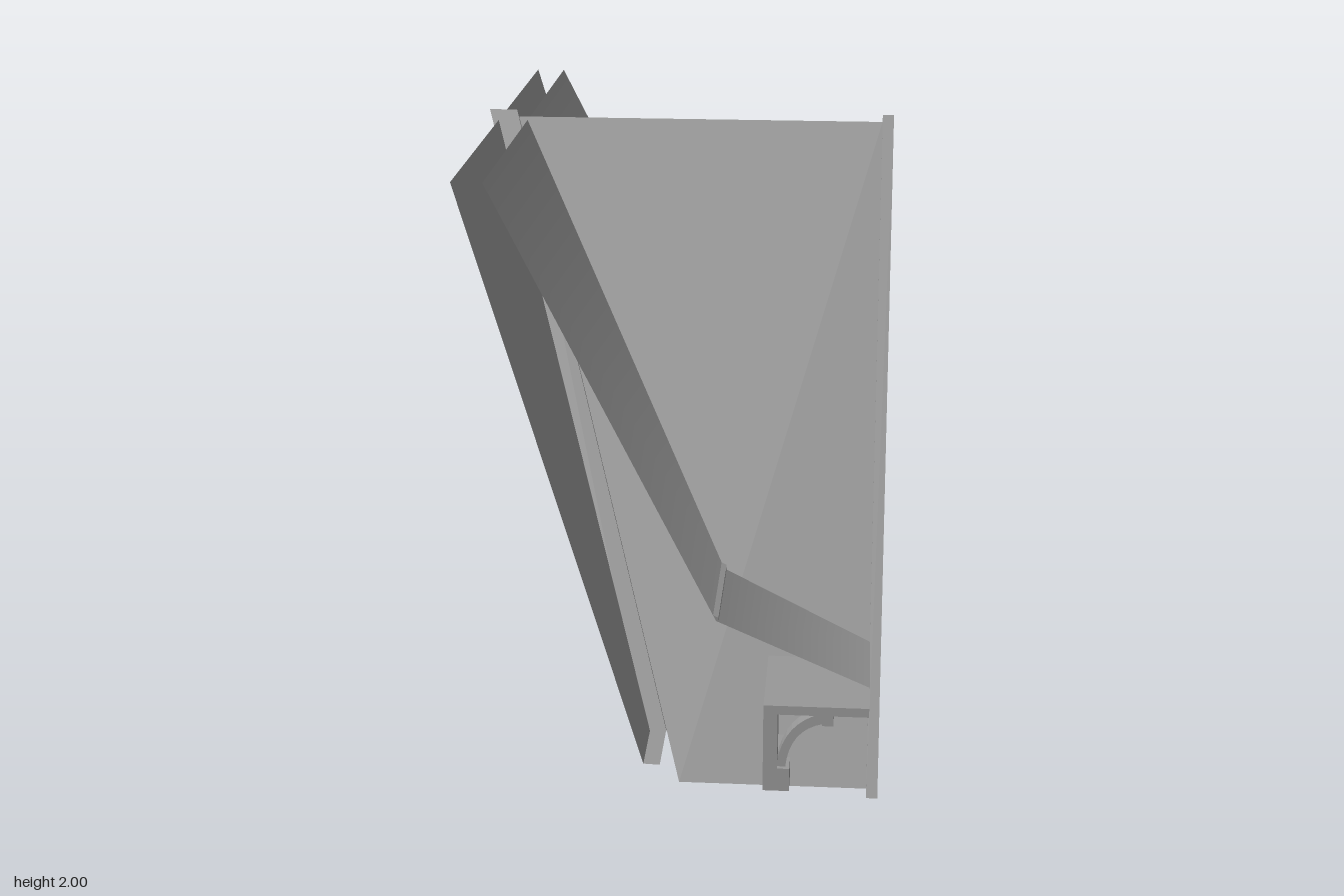
import * as THREE from 'three';

const grey = new THREE.MeshStandardMaterial({ color: 0x989898 });
const thin = new THREE.MeshStandardMaterial({ color: 0x989898, side: THREE.DoubleSide });
const V2 = (x, y) => new THREE.Vector2(x, y);

function add(parent, name, geo, mat = grey) {
  const mesh = new THREE.Mesh(geo, mat);
  mesh.name = name;
  parent.add(mesh);
  return mesh;
}

// Box given by its limits
function box(parent, name, x0, x1, y0, y1, z0, z1) {
  const m = add(parent, name, new THREE.BoxGeometry(x1 - x0, y1 - y0, z1 - z0));
  m.position.set((x0 + x1) / 2, (y0 + y1) / 2, (z0 + z1) / 2);
}

// Extrudes a gable-plane shape (sideways, up) along x
function slab(shape, x0, x1, curveSegments = 12) {
  const g = new THREE.ExtrudeGeometry(shape, { depth: x1 - x0, bevelEnabled: false, curveSegments });
  return g.rotateY(Math.PI / 2).translate(x0, 0, 0);
}

// Upside-down V with given apex heights and half widths at the foot
function chevron(top, inTop, foot, half, inHalf) {
  return new THREE.Shape([V2(-half, foot), V2(-inHalf, foot), V2(0, inTop),
    V2(inHalf, foot), V2(half, foot), V2(0, top)]);
}

// Chevron whose front and rear ends may lean with height
function leaningChevron(shape, rear, front) {
  const g = slab(shape, 0, 1);
  const p = g.attributes.position;
  for (let i = 0; i < p.count; i++) {
    const y = p.getY(i);
    p.setX(i, THREE.MathUtils.lerp(rear(y), front(y), p.getX(i)));
  }
  g.computeVertexNormals();
  return g;
}

// Sheet along z from an (x, y) profile; zRange(y) gives its two ends.
// Normals blend evenly between neighbouring profile segments.
function sheet(profile, zRange) {
  const pos = [], nor = [], idx = [];
  const pts = profile.map(([x, y]) => V2(x, y));
  const perp = i => {
    const d = pts[i + 1].clone().sub(pts[i]).normalize();
    return V2(-d.y, d.x);
  };
  pts.forEach((p, i) => {
    const n = V2(0, 0);
    if (i) n.add(perp(i - 1));
    if (i < pts.length - 1) n.add(perp(i));
    n.normalize();
    for (const z of zRange(p.y)) {
      pos.push(p.x, p.y, z);
      nor.push(n.x, n.y, 0);
    }
    const k = i * 2;
    if (i) idx.push(k - 2, k - 1, k, k - 1, k + 1, k);
  });
  const g = new THREE.BufferGeometry();
  g.setAttribute('position', new THREE.Float32BufferAttribute(pos, 3));
  g.setAttribute('normal', new THREE.Float32BufferAttribute(nor, 3));
  g.setIndex(idx);
  return g;
}

// Same sheet with hard folds
function foldedSheet(profile, zRange) {
  const g = sheet(profile, zRange).toNonIndexed();
  g.computeVertexNormals();
  return g;
}

// Straight tracery bar in the gable plane
function bar(parent, name, s0, y0, s1, y1, w, x0 = 0.568, x1 = 0.605) {
  const len = Math.hypot(s1 - s0, y1 - y0);
  const m = add(parent, name, new THREE.BoxGeometry(x1 - x0, len, w));
  m.position.set((x0 + x1) / 2, (y0 + y1) / 2, (s0 + s1) / 2);
  m.rotation.x = Math.atan2(s1 - s0, y1 - y0);
}

const END = 0.88;                                // half length of the main roof
const gableZ = y => (1.98 - y) * 0.361;          // half width of the gable roof
const rearX = y => -0.64 + (2 - y) * 0.295;      // leaning back face
const gableRearX = y => 0.015 - (y - 0.02) * 0.287;

function mainRoof(root) {
  const g = new THREE.Group();
  g.name = 'mainRoof';
  const slope = [[-0.52, 1.968], [0.14, 0.652], [0.6, 0.45]];
  const step = [[0.131, 0.67], [0.147, 0.663], [0.147, 0.649]];
  const back = [[rearX(1.97) + 0.02, 1.968], [rearX(0.17) + 0.02, 0.17], [-0.03, 0.168]];
  for (const s of [1, -1]) {
    const ends = y => s > 0 ? [gableZ(y), END] : [-END, -gableZ(y)];
    add(g, 'roofSlope', sheet(slope, ends), thin);
    add(g, 'roofStep', foldedSheet(step, ends), thin);
    add(g, 'innerRoofSheet', foldedSheet(back, ends), thin);
  }
  root.add(g);
}

function eaveAndWall(root) {
  const g = new THREE.Group();
  g.name = 'eaveAndWall';
  // Fascia, soffit, wall and ledge
  const profile = [[0.6, 0.45], [0.6, 0.4], [0.285, 0.4], [0.285, 0.17],
    [0.345, 0.17], [0.345, 0.112], [0.285, 0.112]];
  add(g, 'eaveWallLedge', foldedSheet(profile, () => [-END, END]), thin);

  // Wide bracket frame: foot, leg, arm and stop block
  const frame = new THREE.Shape([V2(0.285, 0.115), V2(0.365, 0.115), V2(0.365, 0.19), V2(0.328, 0.19),
    V2(0.328, 0.37), V2(0.46, 0.37), V2(0.46, 0.337), V2(0.495, 0.337), V2(0.495, 0.37),
    V2(0.6, 0.37), V2(0.6, 0.399), V2(0.285, 0.399)]);
  // Narrower curved brace
  const brace = new THREE.Shape([V2(0.326, 0.185), V2(0.352, 0.185)]);
  brace.quadraticCurveTo(0.362, 0.315, 0.465, 0.337);
  brace.lineTo(0.465, 0.372);
  brace.quadraticCurveTo(0.345, 0.34, 0.326, 0.2);
  for (const z of [0.88, 0.285, -0.285]) {
    for (const [name, shape, w] of [['bracketFrame', frame, 0.076], ['bracketBrace', brace, 0.046]]) {
      const geo = new THREE.ExtrudeGeometry(shape, { depth: w, bevelEnabled: false, curveSegments: 8 });
      add(g, name, geo).position.z = z - w / 2;
    }
  }
  root.add(g);
}

function gableRoof(root) {
  const g = new THREE.Group();
  g.name = 'gableRoof';
  add(g, 'gableRoofPlanes', leaningChevron(chevron(1.978, 1.915, 0.02, 0.71, 0.687),
    gableRearX, () => 0.6));
  add(g, 'rearTrim', leaningChevron(chevron(2, 1.82, 0.17, 0.662, 0.595), rearX, gableRearX));
  add(g, 'frontTrim', slab(chevron(2, 1.84, 0, 0.734, 0.645), 0.6, 0.635));
  root.add(g);
}

function windowWall(root) {
  const g = new THREE.Group();
  g.name = 'windowWall';
  const half = y => gableZ(y) - 0.015;
  const wall = new THREE.Shape([V2(-half(0.4), 0.4), V2(half(0.4), 0.4), V2(0, 1.93)]);
  wall.holes.push(new THREE.Path([V2(-0.2, 0.575), V2(-0.2, 1.23), V2(0.2, 1.23), V2(0.2, 0.575)]));
  add(g, 'backWall', slab(wall, -0.07, -0.05));
  const base = new THREE.Shape([V2(-half(0.12), 0.12), V2(half(0.12), 0.12),
    V2(half(0.42), 0.42), V2(-half(0.42), 0.42)]);
  add(g, 'backWallBase', slab(base, -0.012, 0));
  const pane = add(g, 'windowPane', new THREE.PlaneGeometry(0.4, 0.655).rotateY(Math.PI / 2));
  pane.position.set(-0.055, 0.9025, 0);
  // Casing, mullion and transom
  for (const s of [1, -1]) {
    bar(g, 'windowJamb', s * 0.203, 0.57, s * 0.203, 1.24, 0.022, -0.055, -0.02);
    for (const y of [0.607, 1.075]) bar(g, 'sashRail', 0, y, s * 0.18, y, 0.016, -0.054, -0.035);
    bar(g, 'sashStile', s * 0.17, 0.6, s * 0.17, 1.08, 0.016, -0.054, -0.035);
  }
  bar(g, 'windowHead', -0.213, 1.228, 0.213, 1.228, 0.022, -0.055, -0.02);
  bar(g, 'windowSill', -0.213, 0.583, 0.213, 0.583, 0.022, -0.055, -0.01);
  bar(g, 'mullion', 0, 0.6, 0, 1.21, 0.024, -0.054, -0.03);
  bar(g, 'transom', -0.18, 1.097, 0.18, 1.097, 0.022, -0.054, -0.03);
  box(g, 'windowSeat', -0.06, 0.26, 0.47, 0.56, -0.435, 0.435);
  box(g, 'gableFloor', -0.06, 0.598, 0.405, 0.45, -0.54, 0.54);
  root.add(g);
}

function tracery(root) {
  const g = new THREE.Group();
  g.name = 'tracery';
  add(g, 'innerRafters', slab(chevron(1.85, 1.78, 0.45, 0.49, 0.4655), 0.57, 0.602));

  // Egg-shaped ring
  const right = [[0.13, 0.445], [0.235, 0.585], [0.272, 0.74], [0.258, 0.9], [0.21, 1.07], [0.13, 1.23]];
  const ring = [[0, 0.405], ...right, [0, 1.32], ...right.map(([s, y]) => [-s, y]).reverse()];
  const egg = k => new THREE.CatmullRomCurve3(
    ring.map(([s, y]) => new THREE.Vector3(s * k, 0.86 + (y - 0.86) * (k * 0.6 + 0.4), 0)), true)
    .getPoints(56).slice(0, -1).map(p => V2(p.x, p.y));
  const eggShape = new THREE.Shape(egg(1));
  eggShape.holes.push(new THREE.Path(egg(0.885)));
  add(g, 'eggRing', slab(eggShape, 0.565, 0.599));

  // King post with pendant, collar and star of braces
  bar(g, 'kingPost', 0, 1.24, 0, 1.82, 0.042, 0.565, 0.618);
  const tip = add(g, 'pendant', new THREE.ConeGeometry(0.022, 0.08, 4));
  tip.rotation.x = Math.PI;
  tip.position.set(0.59, 1.2, 0);
  bar(g, 'collar', -0.165, 1.355, 0.165, 1.355, 0.045);
  const arch = new THREE.Shape();
  arch.absarc(0, 1.36, 0.125, 0.3, Math.PI - 0.3, false);
  arch.absarc(0, 1.36, 0.1, Math.PI - 0.3, 0.3, true);
  add(g, 'upperArch', slab(arch, 0.575, 0.6, 16));

  for (const s of [1, -1]) {
    bar(g, 'upperBrace', 0, 1.37, s * 0.1, 1.5, 0.028);
    bar(g, 'lowerBrace', 0, 1.36, s * 0.1, 1.26, 0.028);
    bar(g, 'sidePost', s * 0.345, 0.45, s * 0.345, 0.74, 0.045);
    bar(g, 'lowerTie', s * 0.255, 0.745, s * 0.385, 0.745, 0.035);
    bar(g, 'upperTie', s * 0.205, 1.025, s * 0.29, 1.025, 0.03);
    bar(g, 'spandrelBrace', s * 0.265, 0.8, s * 0.345, 0.74, 0.02);
    // Pointed cusps on the inside of the ring
    for (const [c, y] of [[0.21, 0.745], [0.175, 1.025]]) {
      const cusp = add(g, 'cusp', new THREE.ConeGeometry(0.02, 0.085, 6));
      cusp.rotation.x = -s * Math.PI / 2;
      cusp.position.set(0.585, y, s * c);
      bar(g, 'cuspCollar', s * (c + 0.012), y - 0.028, s * (c + 0.012), y + 0.028, 0.014, 0.56, 0.61);
    }
  }
  root.add(g);
}

export function createModel() {
  const model = new THREE.Group();
  model.name = 'gabledDormer';
  const root = new THREE.Group();
  root.name = 'dormer';
  root.position.z = -0.02;
  mainRoof(root);
  eaveAndWall(root);
  gableRoof(root);
  windowWall(root);
  tracery(root);
  model.add(root);
  return model;
}
